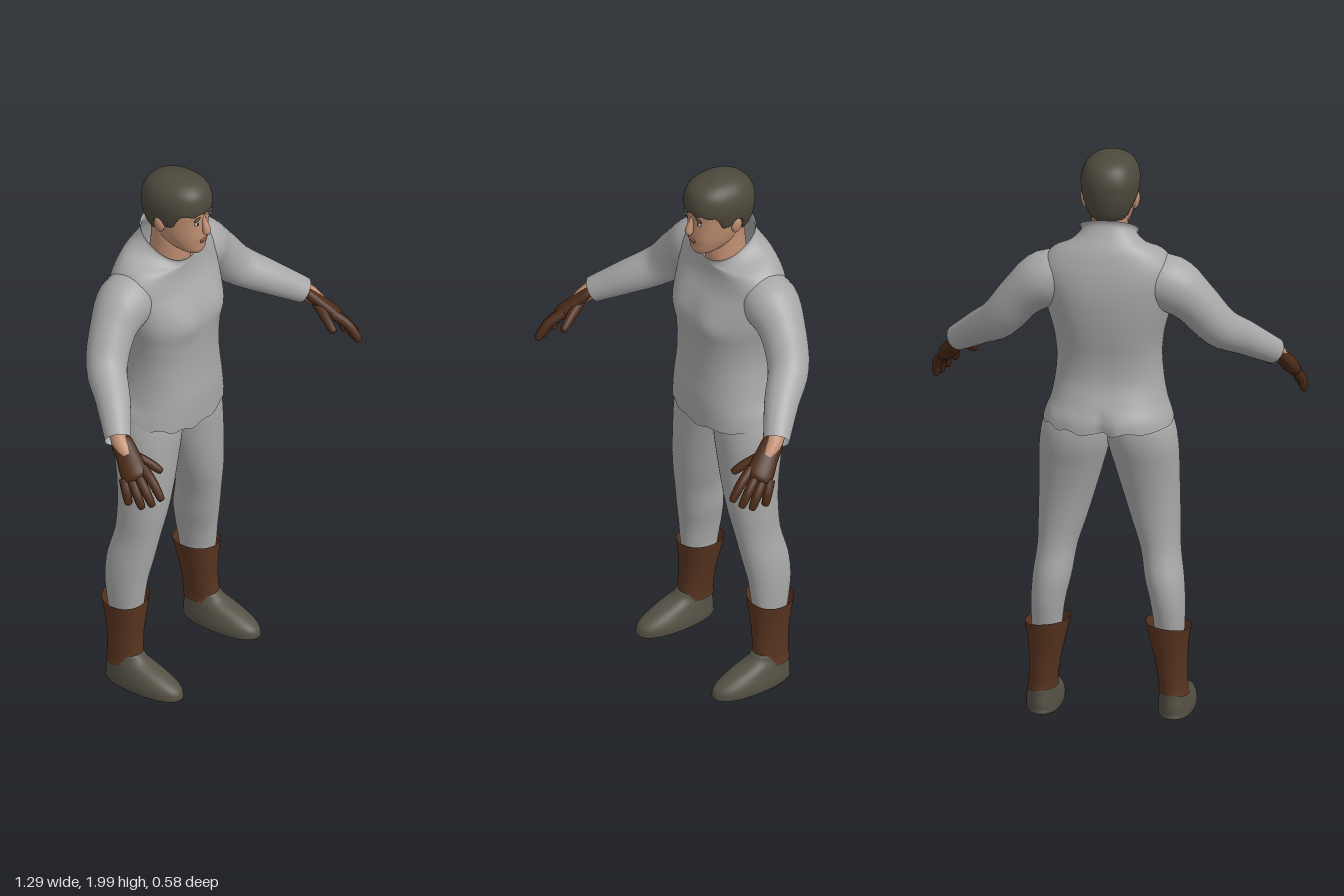
import * as THREE from 'three';

const mat = (name, color, side = THREE.FrontSide) => {
  const m = new THREE.MeshStandardMaterial({ color, side });
  m.name = name;
  return m;
};

// Closed surface: u runs along the part, v runs around it
function grid(fn, nu, nv) {
  const pos = [], idx = [];
  for (let i = 0; i <= nu; i++)
    for (let j = 0; j < nv; j++) pos.push(...fn(i / nu, (j / nv) * Math.PI * 2).toArray());
  for (let i = 0; i < nu; i++)
    for (let j = 0; j < nv; j++) {
      const a = i * nv + j, b = i * nv + (j + 1) % nv;
      idx.push(a, b, a + nv, b, b + nv, a + nv);
    }
  const g = new THREE.BufferGeometry();
  g.setAttribute('position', new THREE.Float32BufferAttribute(pos, 3));
  g.setIndex(idx);
  g.computeVertexNormals();
  return g;
}

// Smooth interpolation of every column of a table of rows
function sample(rows, u) {
  const f = u * (rows.length - 1), i = Math.min(Math.floor(f), rows.length - 2), t = f - i;
  const at = k => rows[Math.max(0, Math.min(rows.length - 1, k))];
  return rows[0].map((_, k) => {
    const [a, b, c, d] = [at(i - 1)[k], at(i)[k], at(i + 1)[k], at(i + 2)[k]];
    return b + 0.5 * t * (c - a + t * (2 * a - 5 * b + 4 * c - d + t * (3 * (b - c) + d - a)));
  });
}

const power = (x, n) => Math.sign(x) * Math.abs(x) ** (2 / n);

// Upright loft, rows from the bottom: [y, centre x, half width, front z, back z, tilt]
function loft(rows, { n = 2.2, side = 1, warp = null, nv = 48 } = {}) {
  return grid((u, v) => {
    const [y, cx, hw, zf, zb, tilt = 0] = sample(rows, u);
    const s = -power(Math.sin(v), n), c = power(Math.cos(v), n);
    const p = new THREE.Vector3(side * cx + hw * c, y - tilt * s, (zf + zb) / 2 + s * (zf - zb) / 2);
    if (warp) warp(p, s, c);
    return p;
  }, (rows.length - 1) * 4, nv);
}

// Limb along points [x, y, z, radius]; across is its wide direction, flat its thickness ratio
function limb(points, { side = 1, across = [0, 0, 1], flat = 1, nv = 20 } = {}) {
  const centre = u => { const [x, y, z] = sample(points, u); return new THREE.Vector3(side * x, y, z); };
  return grid((u, v) => {
    const t = centre(Math.min(1, u + 0.01)).sub(centre(Math.max(0, u - 0.01))).normalize();
    const b = new THREE.Vector3(side * across[0], across[1], across[2]);
    b.addScaledVector(t, -b.dot(t)).normalize();
    const n = t.clone().cross(b), r = Math.max(0, sample(points, u)[3]);
    return centre(u).addScaledVector(b, r * Math.cos(v)).addScaledVector(n, r * flat * Math.sin(v));
  }, (points.length - 1) * 4, nv);
}

export function createModel() {
  const model = new THREE.Group();
  model.name = 'standingMan';
  const cloth = mat('greyCloth', 0xa8a8a8, THREE.DoubleSide);
  const glove = mat('gloveLeather', 0x4a2a17);
  const boot = mat('bootLeather', 0x58341f, THREE.DoubleSide);
  const shoe = mat('shoeLeather', 0x545044);
  const hair = mat('darkHair', 0x4d483c);
  const skin = mat('skin', 0xc08f72);
  const lip = mat('lips', 0xa0604f);
  const white = mat('eyeWhite', 0xd8d0c8);
  const dark = mat('eyeDark', 0x2c2620);
  const add = (name, geo, m) => {
    const mesh = new THREE.Mesh(geo, m);
    mesh.name = name;
    model.add(mesh);
    return mesh;
  };
  const blob = (name, m, p, size, rz = 0) => {
    const mesh = add(name, new THREE.SphereGeometry(1, 20, 14), m);
    mesh.position.set(...p);
    mesh.scale.set(...size);
    mesh.rotation.z = rz;
  };

  // Loose shirt: flared uneven hem, back slit, chest and raised collar
  add('shirt', loft([
    [1.045, 0, 0.222, 0.058, -0.285, 0.005], [1.09, 0, 0.213, 0.06, -0.28, 0],
    [1.15, 0, 0.196, 0.06, -0.255, 0], [1.22, 0, 0.184, 0.054, -0.232, 0],
    [1.3, 0, 0.18, 0.052, -0.232, 0], [1.38, 0, 0.19, 0.055, -0.245, 0],
    [1.45, 0, 0.208, 0.056, -0.255, 0], [1.52, 0, 0.222, 0.036, -0.26, 0],
    [1.58, 0, 0.232, 0.008, -0.257, 0], [1.63, 0, 0.224, -0.005, -0.247, 0.005],
    [1.675, 0, 0.185, -0.008, -0.23, 0.015], [1.7, 0, 0.125, -0.008, -0.205, 0.035],
    [1.725, 0, 0.096, -0.008, -0.187, 0.05], [1.74, 0, 0.1, -0.002, -0.19, 0.055],
  ], {
    n: 2.35, nv: 72, warp: (p, s, c) => {
      const low = THREE.MathUtils.clamp((1.13 - p.y) / 0.08, 0, 1);
      if (s < 0) p.z += 0.03 * low * Math.exp(-((p.x / 0.022) ** 2));
      p.y += low * (0.022 * c * c - 0.01 * Math.max(0, s) + 0.006 * Math.sin(p.x * 60 + p.z * 45));
      if (s > 0) p.z += 0.012 * Math.exp(-(((Math.abs(p.x) - 0.09) / 0.06) ** 2) - ((p.y - 1.46) / 0.06) ** 2);
    },
  }), cloth);

  for (const side of [1, -1]) {
    const tag = side > 0 ? 'left' : 'right';

    // Sleeve and bare wrist
    add(tag + 'Sleeve', limb([
      [0.1, 1.585, -0.13, 0.075], [0.21, 1.56, -0.13, 0.098], [0.295, 1.495, -0.122, 0.08],
      [0.375, 1.398, -0.09, 0.071], [0.45, 1.335, -0.01, 0.06], [0.543, 1.26, 0.078, 0.045],
    ], { side, nv: 32 }), cloth);
    add(tag + 'Wrist', limb([[0.5, 1.295, 0.04, 0.032], [0.543, 1.26, 0.085, 0.03], [0.56, 1.225, 0.13, 0.025]], { side }), skin);

    // Glove: palm, four fingers and thumb
    const across = [0.7, -0.43, -0.57];
    add(tag + 'GlovePalm', limb([
      [0.54, 1.265, 0.082, 0], [0.541, 1.263, 0.086, 0.034], [0.56, 1.225, 0.13, 0.041],
      [0.583, 1.182, 0.174, 0.047], [0.59, 1.168, 0.19, 0.034], [0.593, 1.162, 0.195, 0],
    ], { side, across, flat: 0.58 }), glove);
    const fingers = {
      IndexFinger: [[0.556, 1.2, 0.19], [0.572, 1.165, 0.245], [0.578, 1.118, 0.283]],
      MiddleFinger: [[0.576, 1.187, 0.178], [0.598, 1.145, 0.23], [0.602, 1.098, 0.262]],
      RingFinger: [[0.594, 1.174, 0.165], [0.615, 1.13, 0.207], [0.62, 1.086, 0.232]],
      LittleFinger: [[0.609, 1.166, 0.15], [0.627, 1.128, 0.173], [0.631, 1.09, 0.185]],
      Thumb: [[0.55, 1.23, 0.12], [0.522, 1.2, 0.185], [0.505, 1.172, 0.228]],
    };
    for (const [name, [a, b, c]] of Object.entries(fingers)) {
      const end = c.map((v, i) => v + (v - b[i]) * 0.12);
      add(tag + name, limb([[...a, 0.018], [...b, 0.0165], [...c, 0.0125], [...end, 0]], { side, across, nv: 12 }), glove);
    }

    // Trouser leg
    add(tag + 'TrouserLeg', loft([
      [0.29, 0.21, 0.05, -0.065, -0.19], [0.35, 0.209, 0.054, -0.058, -0.2], [0.42, 0.204, 0.06, -0.05, -0.208],
      [0.5, 0.192, 0.067, -0.035, -0.205], [0.6, 0.177, 0.069, -0.018, -0.183], [0.7, 0.16, 0.084, -0.002, -0.18],
      [0.8, 0.144, 0.098, 0.006, -0.188], [0.9, 0.129, 0.112, 0.01, -0.206], [0.98, 0.117, 0.121, 0.012, -0.224],
      [1.05, 0.108, 0.118, 0.008, -0.225], [1.12, 0.1, 0.1, 0, -0.2],
    ], { side, n: 2.1 }), cloth);

    // Boot shaft, wider at the top and slightly flared over the shoe
    add(tag + 'BootShaft', loft([
      [0.095, 0.225, 0.053, -0.05, -0.188], [0.12, 0.223, 0.05, -0.055, -0.186], [0.2, 0.216, 0.055, -0.06, -0.19],
      [0.28, 0.209, 0.067, -0.055, -0.202], [0.34, 0.207, 0.078, -0.05, -0.212],
    ], { side, warp: p => { p.y -= (p.x * side - 0.21) * 0.12; } }), boot);

    // Shoe with rounded toe
    add(tag + 'Shoe', loft([
      [0.008, 0.226, 0, -0.04, -0.04], [0.006, 0.226, 0.055, 0.1, -0.18], [0.025, 0.226, 0.063, 0.115, -0.19],
      [0.05, 0.226, 0.061, 0.1, -0.19], [0.08, 0.226, 0.054, 0.045, -0.186], [0.11, 0.225, 0.046, -0.03, -0.183],
      [0.135, 0.223, 0.042, -0.06, -0.178], [0.14, 0.223, 0, -0.12, -0.12],
    ], { side }), shoe);

    // Ear, eye and brow
    blob(tag + 'Ear', skin, [side * 0.089, 1.835, -0.075], [0.012, 0.032, 0.02], side * -0.15);
    blob(tag + 'EyeWhite', white, [side * 0.034, 1.853, 0.044], [0.014, 0.006, 0.004]);
    blob(tag + 'Iris', dark, [side * 0.034, 1.853, 0.0465], [0.006, 0.006, 0.003]);
    blob(tag + 'Brow', hair, [side * 0.036, 1.872, 0.047], [0.02, 0.0045, 0.0045], side * -0.08);
  }

  // Neck and head
  add('neck', loft([
    [1.6, 0, 0.08, -0.03, -0.18], [1.68, 0, 0.066, -0.018, -0.166],
    [1.74, 0, 0.063, -0.018, -0.16], [1.8, 0, 0.063, -0.02, -0.16],
  ], { n: 2 }), skin);
  add('head', loft([
    [1.712, 0, 0, 0.01, 0.01], [1.714, 0, 0.025, 0.032, -0.03], [1.73, 0, 0.047, 0.043, -0.07],
    [1.755, 0, 0.063, 0.046, -0.11], [1.785, 0, 0.074, 0.05, -0.14], [1.82, 0, 0.081, 0.05, -0.16],
    [1.86, 0, 0.086, 0.05, -0.17], [1.9, 0, 0.088, 0.053, -0.175], [1.94, 0, 0.078, 0.04, -0.16],
    [1.97, 0, 0.04, 0, -0.11],
  ], { n: 2.2 }), skin);

  // Nose and mouth
  add('nose', limb([
    [0, 1.872, 0.042, 0.007], [0, 1.845, 0.052, 0.01], [0, 1.817, 0.06, 0.0145],
    [0, 1.806, 0.057, 0.013], [0, 1.8, 0.05, 0],
  ], { across: [1, 0, 0] }), skin);
  blob('upperLip', lip, [0, 1.775, 0.049], [0.022, 0.004, 0.005]);
  blob('lowerLip', lip, [0, 1.767, 0.048], [0.018, 0.005, 0.005]);

  // Short hair: fringe in front, sideburns, longer at the nape
  add('hair', loft([
    [1.775, 0, 0.055, 0, -0.155], [1.8, 0, 0.075, 0.03, -0.175], [1.84, 0, 0.091, 0.046, -0.187],
    [1.88, 0, 0.099, 0.059, -0.192], [1.92, 0, 0.1, 0.062, -0.19], [1.96, 0, 0.086, 0.05, -0.172],
    [1.985, 0, 0.06, 0.018, -0.138], [1.997, 0, 0.028, -0.025, -0.095], [2, 0, 0, -0.06, -0.06],
  ], {
    nv: 72, warp: (p, s) => {
      const step = THREE.MathUtils.smoothstep;
      const edge = 1.78 + 0.075 * step(s, -0.55, -0.2) - 0.02 * step(s, 0, 0.15) + 0.055 * step(s, 0.4, 0.6);
      p.y = Math.max(p.y, edge + 0.004 * Math.sin(p.x * 150));
      p.y = Math.min(p.y, 2);
    },
  }), hair);

  return model;
}
